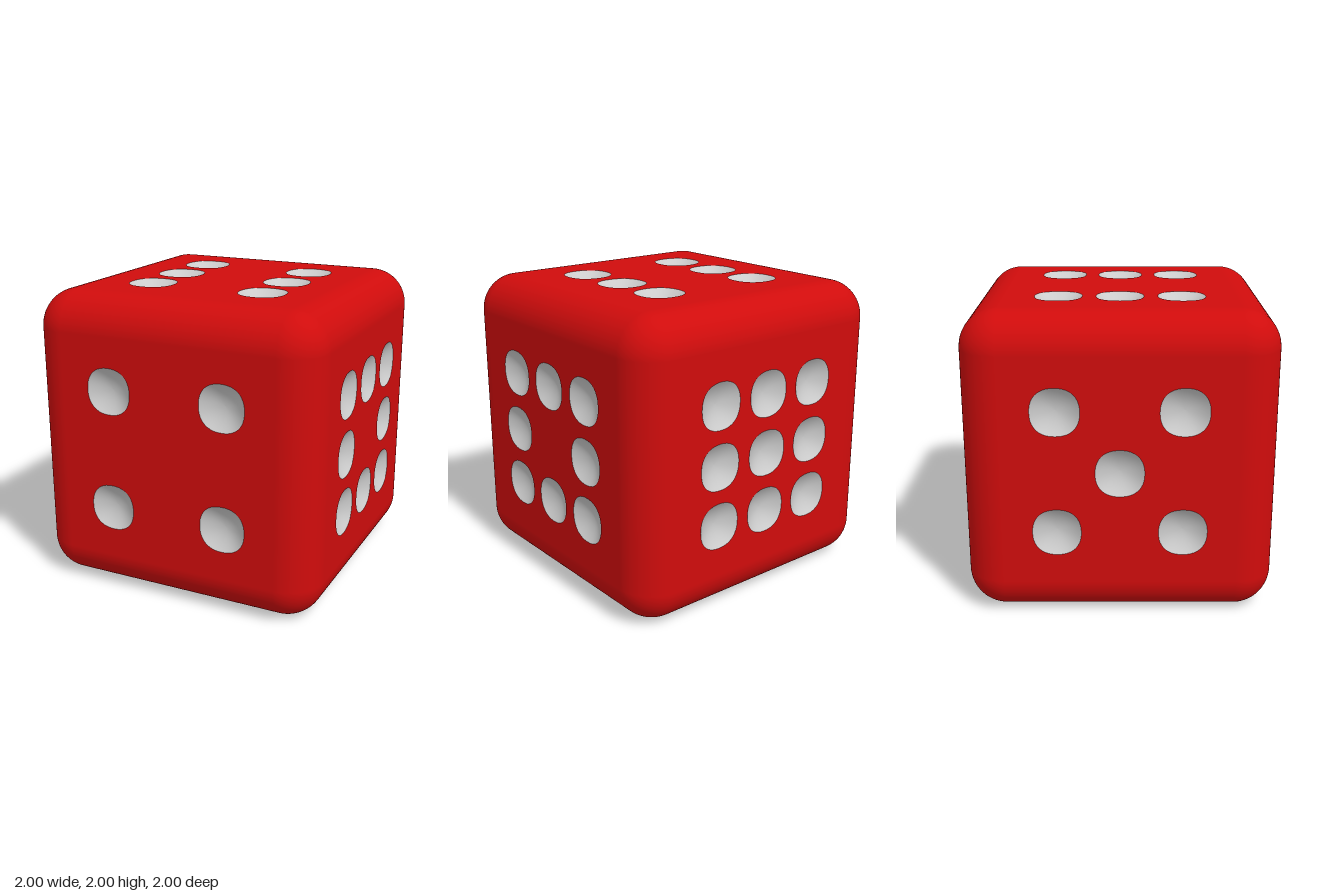
import * as THREE from 'three';
import { RoundedBoxGeometry } from 'three/addons/geometries/RoundedBoxGeometry.js';

const EDGE = 0.25;        // rounding of edges and corners
const FLAT = 1 - EDGE;    // half width of each flat side
const PIP = 0.155;        // pip radius
const DEPTH = 0.06;       // pip depth
const STEP = 0.4;         // pip spacing
const SEGS = 40;

const red = new THREE.MeshStandardMaterial({ color: 0xd00c0c });
const grey = new THREE.MeshStandardMaterial({ color: 0xcccccc });

// Slightly squared circle: radius factor at an angle
const squarish = (a, n = 2.3) =>
  (Math.abs(Math.cos(a)) ** n + Math.abs(Math.sin(a)) ** n) ** (-1 / n);

// Rounded edges and corners: a rounded box without its six flat squares
function edgeGeometry() {
  const box = new RoundedBoxGeometry(2, 2, 2, 10, EDGE);
  const src = box.index ? box.toNonIndexed() : box;
  const p = src.attributes.position.array, n = src.attributes.normal.array;
  const pos = [], nor = [];
  for (let i = 0; i < p.length; i += 9) {
    const flat = [0, 1, 2].some(k =>
      [0, 3, 6].every(v => Math.abs(p[i + v + k]) > 0.99999));
    if (flat) continue;
    pos.push(...p.slice(i, i + 9));
    nor.push(...n.slice(i, i + 9));
  }
  const g = new THREE.BufferGeometry();
  g.setAttribute('position', new THREE.Float32BufferAttribute(pos, 3));
  g.setAttribute('normal', new THREE.Float32BufferAttribute(nor, 3));
  return g;
}

// Flat side with a hole for each pip
function sideGeometry(spots) {
  const shape = new THREE.Shape([[-1, -1], [1, -1], [1, 1], [-1, 1]]
    .map(([x, y]) => new THREE.Vector2(x * FLAT, y * FLAT)));
  for (const [u, v] of spots) {
    const rim = [];
    for (let i = 0; i < SEGS; i++) {
      const a = -i / SEGS * Math.PI * 2, r = PIP * squarish(a);
      rim.push(new THREE.Vector2(u * STEP + r * Math.cos(a), v * STEP + r * Math.sin(a)));
    }
    shape.holes.push(new THREE.Path(rim));
  }
  return new THREE.ShapeGeometry(shape);
}

// Shallow dish opening toward +z
function dishGeometry() {
  const profile = [];
  for (let i = 10; i >= 0; i--) {
    const t = i / 10;
    profile.push(new THREE.Vector2(PIP * t, -DEPTH * (1 - t * t)));
  }
  const g = new THREE.LatheGeometry(profile, SEGS).rotateX(Math.PI / 2);
  const p = g.attributes.position;
  for (let i = 0; i < p.count; i++) {
    const k = squarish(Math.atan2(p.getY(i), p.getX(i)));
    p.setXY(i, p.getX(i) * k, p.getY(i) * k);
  }
  g.computeVertexNormals();
  return g;
}

export function createModel() {
  const die = new THREE.Group();
  die.name = 'die';

  const edges = new THREE.Mesh(edgeGeometry(), red);
  edges.name = 'roundedEdges';
  edges.position.y = 1;
  die.add(edges);

  // Pip layouts on a three by three grid
  const corners = [[-1, -1], [1, -1], [-1, 1], [1, 1]];
  const six = [...corners, [-1, 0], [1, 0]];
  const eight = [...six, [0, -1], [0, 1]];
  const centre = [0, 0];
  const q = Math.PI / 2;
  const sides = [
    ['front', corners, 0, 0],
    ['back', [...eight, centre], 0, 2 * q],
    ['left', eight, 0, q],
    ['right', [...corners, centre], 0, -q],
    ['top', six, -q, 0],
    ['bottom', [...six, centre], q, 0],
  ];

  const dish = dishGeometry();
  for (const [name, spots, rx, ry] of sides) {
    const side = new THREE.Group();
    side.name = name + 'Side';
    side.position.y = 1;
    side.rotation.set(rx, ry, 0);
    const panel = new THREE.Mesh(sideGeometry(spots), red);
    panel.name = name + 'Panel';
    panel.position.z = 1;
    side.add(panel);
    for (const [u, v] of spots) {
      const pip = new THREE.Mesh(dish, grey);
      pip.name = name + 'Pip';
      pip.position.set(u * STEP, v * STEP, 1);
      side.add(pip);
    }
    die.add(side);
  }
  return die;
}
